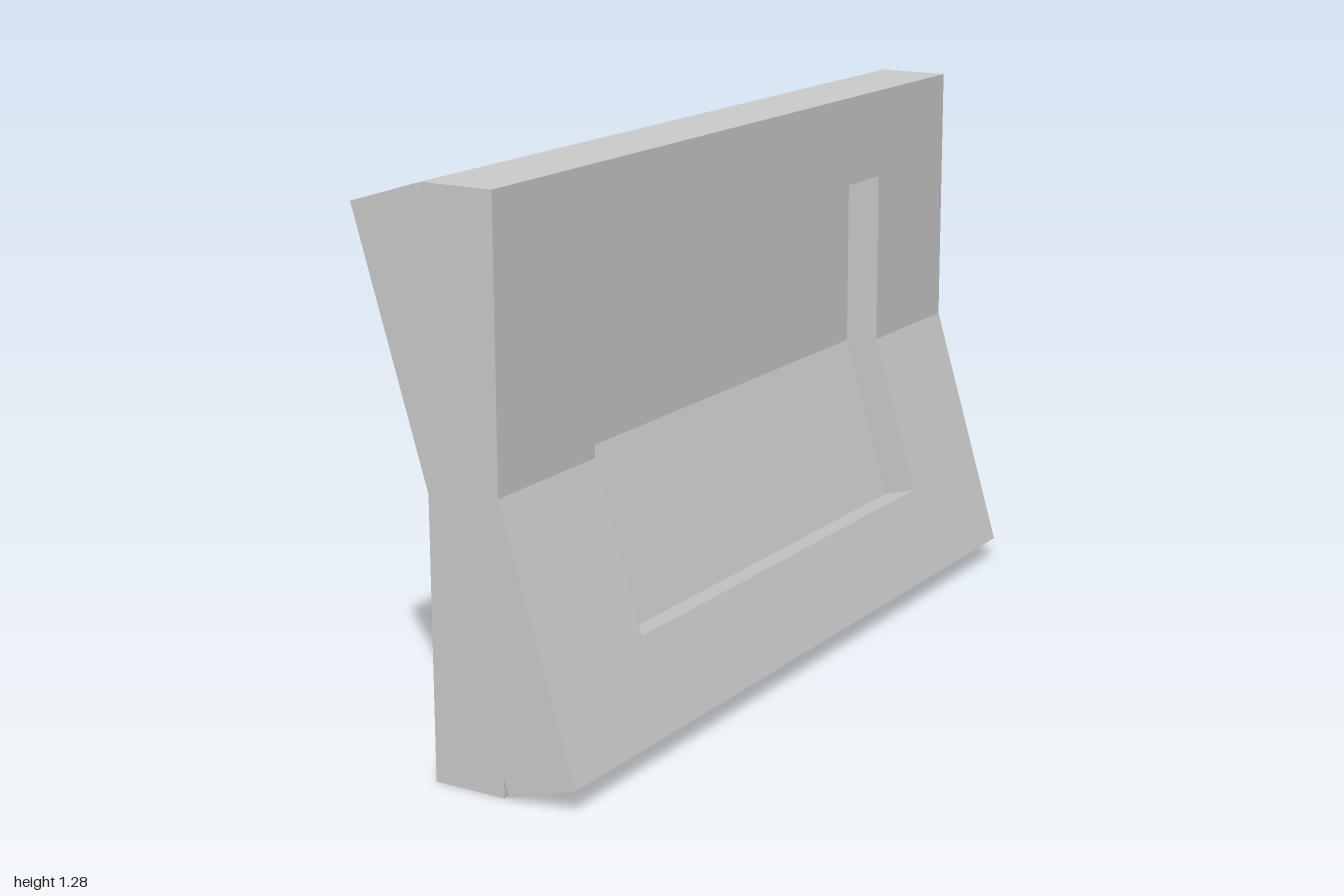
import * as THREE from 'three';

const HEIGHT = 1.285;

export function createModel() {
  const model = new THREE.Group();
  const material = new THREE.MeshStandardMaterial({ color: 0xcccccc });

  // Extrudes an xy outline between two z positions
  function slab(name, points, z0, z1) {
    const shape = new THREE.Shape(points.map(([x, y]) => new THREE.Vector2(x, y)));
    const geometry = new THREE.ExtrudeGeometry(shape, { depth: z1 - z0, bevelEnabled: false });
    geometry.translate(0, 0, z0);
    const mesh = new THREE.Mesh(geometry, material);
    mesh.name = name;
    model.add(mesh);
    return mesh;
  }

  // Bent outline: the upper half is the lower half turned by 180 degrees
  const foot = [[-0.088, 0], [0.088, 0], [0.088, 0.045], [0.1, 0.004], [0.267, 0.055]];
  const kink = [0.088, 0.651];
  const turn = ([x, y]) => [-x, HEIGHT - y];
  const front = [...foot, kink];
  const back = front.map(turn);
  const outline = [...front, ...back];

  // Recess cut square to the bent front face
  const recess = [[0.202, 0.27], [0.121, 0.246], [0.004, 0.639], [0.004, 1.07], [0.088, 1.07]];

  // Solid ends and the recessed middle
  const halfRecess = 0.645;
  slab('rightFrameEnd', outline, halfRecess, 1);
  slab('leftFrameEnd', outline, -1, -halfRecess);
  slab('recessedPanel', [...foot, ...recess, ...back], -halfRecess, halfRecess);

  // Tilted rear stand, slightly turned and sunk into the body
  const stand = slab('rearStand', [[-0.162, 0.016], [-0.139, 0.01], [-0.031, 0.41], [-0.054, 0.416]], -0.131, 0.131);
  stand.rotation.y = -0.06;

  return model;
}
